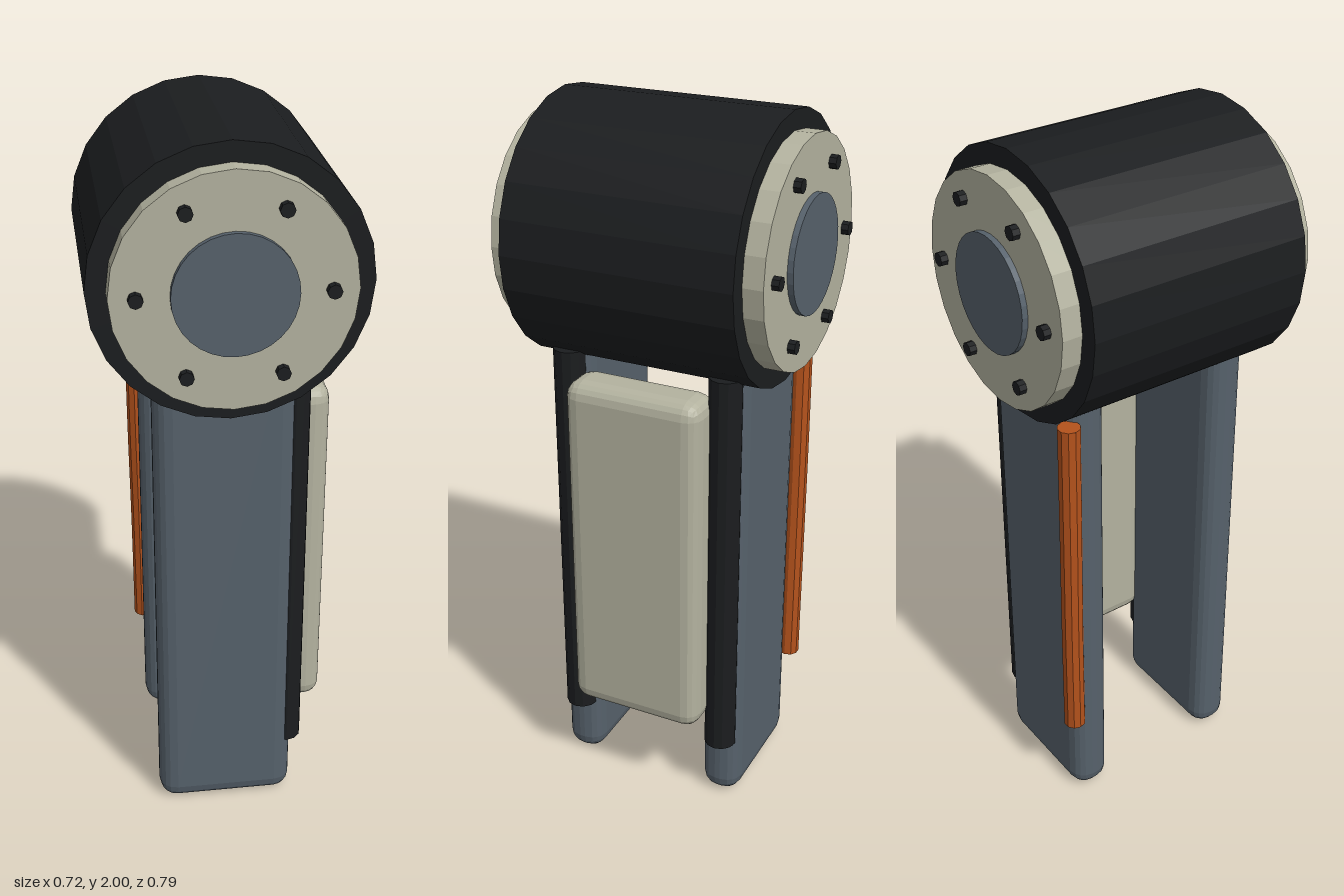
import * as THREE from 'three';
import { RoundedBoxGeometry } from 'three/addons/geometries/RoundedBoxGeometry.js';

const mat = (color, flatShading = true) => new THREE.MeshStandardMaterial({ color, flatShading });

export function createModel() {
  const model = new THREE.Group();
  const black = mat(0x1b1d1f);
  const beige = mat(0xb3b29f);
  const slate = mat(0x56616b);
  const orange = mat(0xb4521c);
  const hubY = 1.642;

  function add(name, geometry, material, x, y, z, parent = model) {
    const mesh = new THREE.Mesh(geometry, material);
    mesh.name = name;
    mesh.position.set(x, y, z);
    parent.add(mesh);
    return mesh;
  }
  // Cylinder lying along z
  const disc = (r, depth, sides) => new THREE.CylinderGeometry(r, r, depth, sides).rotateX(Math.PI / 2);

  // Joint housing across the top
  add('jointHousing', disc(0.358, 0.644, 24), black, 0, hubY, 0);

  for (const side of [1, -1]) {
    // End cap with hub disc and a ring of bolts
    const cap = new THREE.Group();
    cap.name = side > 0 ? 'frontCap' : 'backCap';
    cap.position.y = hubY;
    model.add(cap);
    add('capPlate', disc(0.306, 0.08, 24), beige, 0, 0, side * 0.337, cap);
    add('hubDisc', disc(0.157, 0.06, 32), slate, 0, 0, side * 0.363, cap);
    for (let i = 0; i < 6; i++) {
      const a = (i * Math.PI) / 3;
      add('bolt', disc(0.019, 0.05, 8), black, 0.24 * Math.cos(a), 0.24 * Math.sin(a), side * 0.372, cap);
    }

    // Arm plate, running up into the housing
    add(side > 0 ? 'frontArm' : 'backArm',
      new RoundedBoxGeometry(0.386, 1.5, 0.116, 2, 0.05), slate, -0.002, 0.755, side * 0.2275);

    // Piston rod along the edge of the arm
    add(side > 0 ? 'frontRod' : 'backRod',
      new THREE.CylinderGeometry(0.046, 0.046, 1.155, 12), black, 0.178, 0.768, side * 0.23);
  }

  // Cover panel between the arms
  add('coverPanel', new RoundedBoxGeometry(0.14, 1.015, 0.396, 2, 0.045), beige, 0.22, 0.784, 0);

  // Cable on the back arm, with a very slight bow
  const path = new THREE.CatmullRomCurve3([
    new THREE.Vector3(-0.193, 1.32, -0.292),
    new THREE.Vector3(-0.192, 0.95, -0.293),
    new THREE.Vector3(-0.189, 0.65, -0.293),
    new THREE.Vector3(-0.188, 0.3, -0.292),
  ]);
  const cable = new THREE.Group();
  cable.name = 'cable';
  model.add(cable);
  add('cableTube', new THREE.TubeGeometry(path, 10, 0.031, 10), orange, 0, 0, 0, cable);
  for (const [t, tilt] of [[0, -1], [1, 1]]) {
    const p = path.getPoint(t);
    add('cableEnd', new THREE.CircleGeometry(0.031, 10).rotateX((tilt * Math.PI) / 2), orange, p.x, p.y, p.z, cable);
  }

  return model;
}
